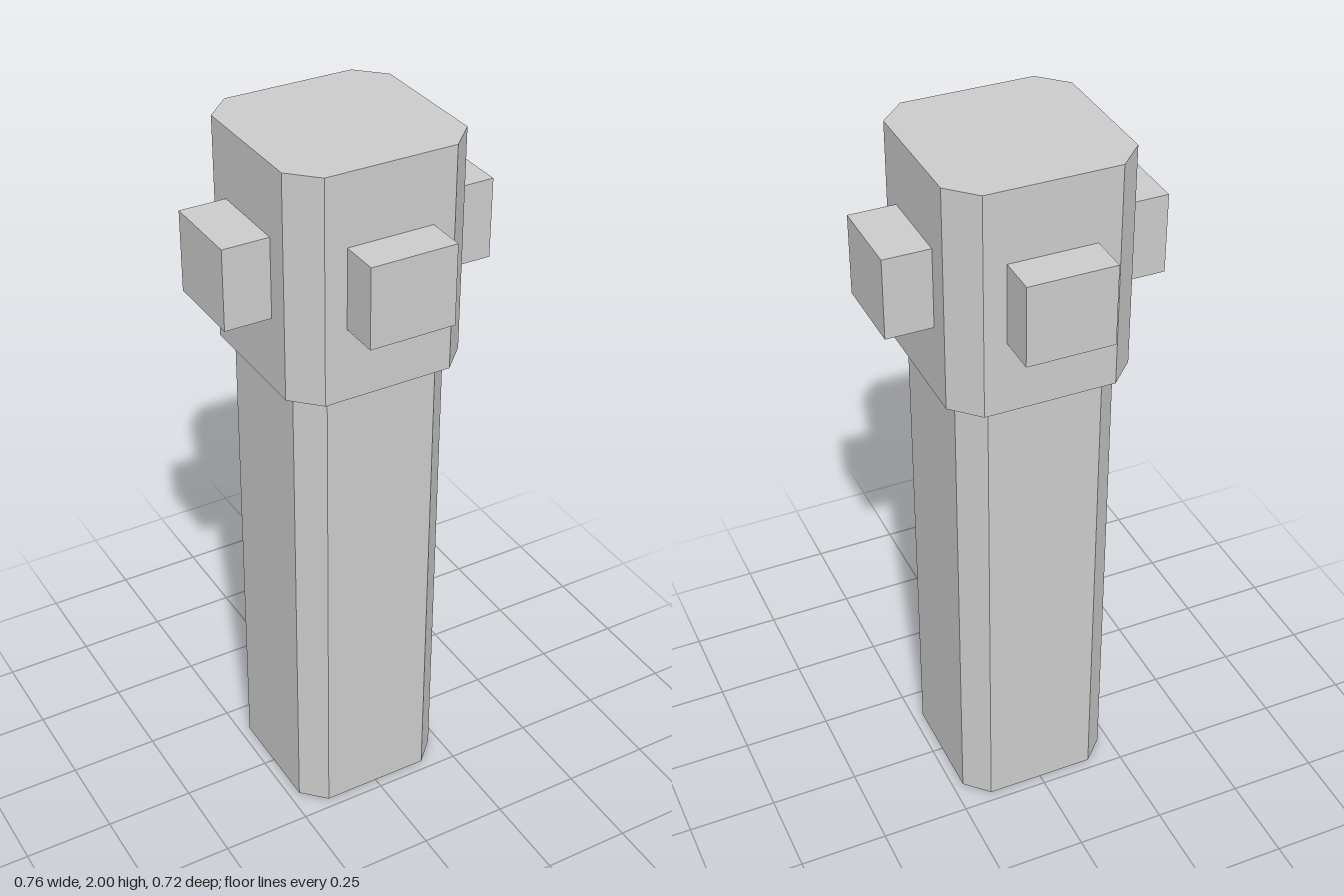
import * as THREE from 'three';

const material = new THREE.MeshStandardMaterial({ color: 0xcccccc, flatShading: true });

// Upright square prism with chamfered corners; flat = half width of each main face
function chamferedPrism(name, half, flat, bottom, top) {
  const shape = new THREE.Shape([
    [half, -flat], [half, flat], [flat, half], [-flat, half],
    [-half, flat], [-half, -flat], [-flat, -half], [flat, -half],
  ].map(([x, y]) => new THREE.Vector2(x, y)));
  const geometry = new THREE.ExtrudeGeometry(shape, { depth: top - bottom, bevelEnabled: false });
  geometry.rotateX(-Math.PI / 2).translate(0, bottom, 0);
  const mesh = new THREE.Mesh(geometry, material);
  mesh.name = name;
  return mesh;
}

export function createModel() {
  const group = new THREE.Group();
  group.name = 'post';
  const headHalf = 0.252, lugBottom = 1.583, lugTop = 1.805;

  group.add(chamferedPrism('shaft', 0.22, 0.157, 0, 1.382));
  group.add(chamferedPrism('head', headHalf, 0.18, 1.382, 2));

  // One block standing out from each main face of the head
  const lugs = [
    ['frontLug', 0, 0.362, 0.238], ['leftLug', 1, 0.38, 0.23],
    ['backLug', 2, 0.362, 0.238], ['rightLug', 3, 0.38, 0.23],
  ];
  for (const [name, quarter, reach, width] of lugs) {
    const inner = headHalf - 0.01;
    const geometry = new THREE.BoxGeometry(width, lugTop - lugBottom, reach - inner);
    geometry.translate(0, (lugTop + lugBottom) / 2, (reach + inner) / 2);
    const lug = new THREE.Mesh(geometry, material);
    lug.rotation.y = quarter * Math.PI / 2;
    lug.name = name;
    group.add(lug);
  }
  return group;
}
